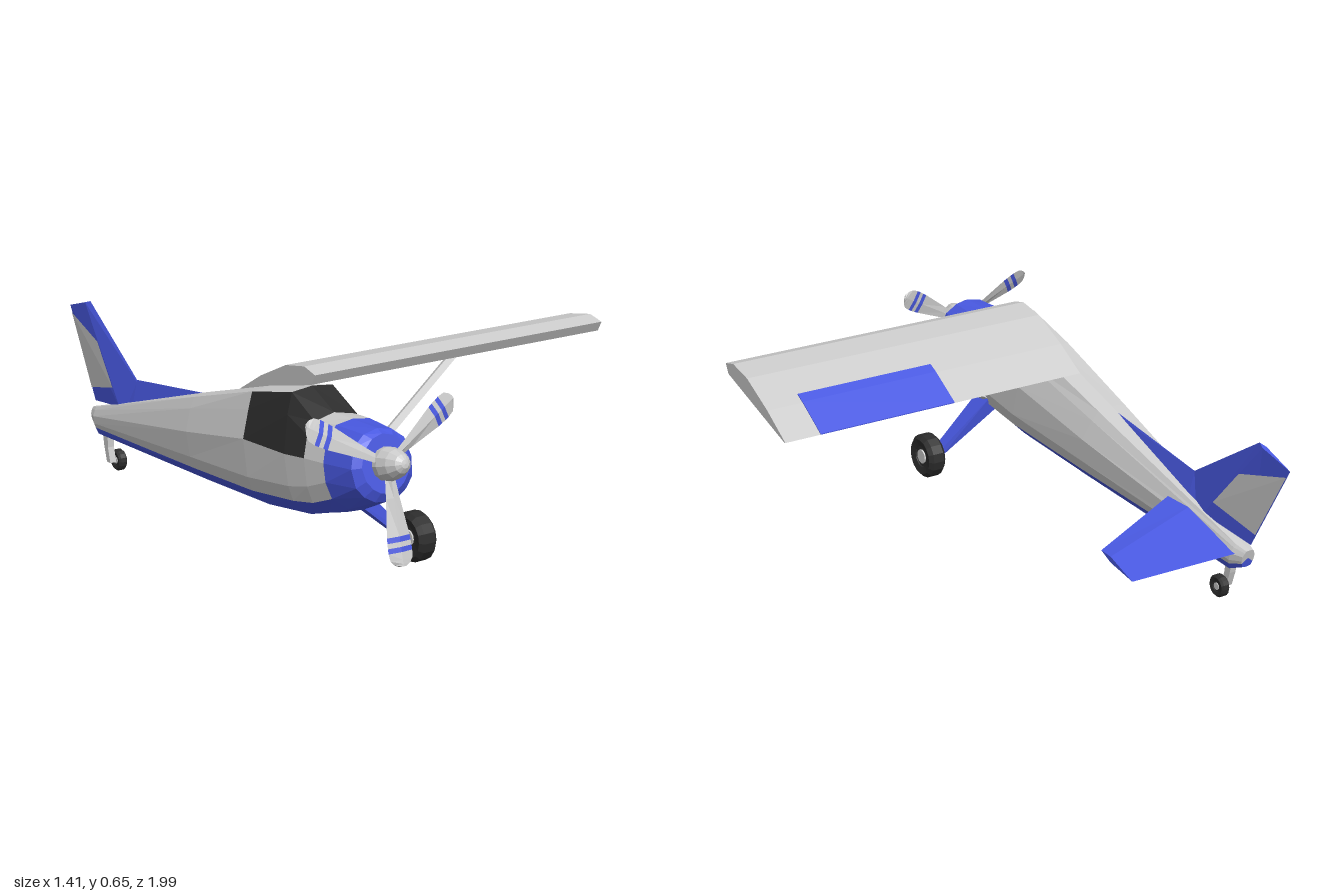
import * as THREE from 'three';

const GREY = 0xcccccc, BLUE = 0x4858e0, DARK = 0x2c2c2c;
const materials = {};
const mat = (color) => (materials[color] ??= new THREE.MeshStandardMaterial({ color, flatShading: true, side: THREE.DoubleSide }));

// Skins a row of closed rings, caps both ends; paint(segment, side) picks the colour of each cell.
function loft(name, rings, paint = () => GREY) {
  const tris = [], n = rings[0].length;
  const v = rings.map((r) => r.map((p) => new THREE.Vector3(...p)));
  for (let i = 0; i < v.length - 1; i++) for (let j = 0; j < n; j++) {
    const k = (j + 1) % n, c = paint(i, j);
    tris.push([v[i][j], v[i + 1][j], v[i][k], c], [v[i][k], v[i + 1][j], v[i + 1][k], c]);
  }
  [0, v.length - 1].forEach((e) => {
    const mid = v[e].reduce((s, p) => s.add(p), new THREE.Vector3()).divideScalar(n);
    for (let j = 0; j < n; j++) {
      const a = v[e][j], b = v[e][(j + 1) % n], c = paint(e ? e - 1 : 0, j);
      tris.push(e ? [mid, a, b, c].toSpliced(1, 2, b, a) : [mid, a, b, c]);
    }
  });
  // turn the faces outward
  const volume = tris.reduce((s, [a, b, c]) => s + a.dot(b.clone().cross(c)), 0);
  const byColor = new Map();
  for (const [a, b, c, color] of tris) {
    if (!byColor.has(color)) byColor.set(color, []);
    byColor.get(color).push(...(volume < 0 ? [a, c, b] : [a, b, c]));
  }
  const group = new THREE.Group();
  group.name = name;
  for (const [color, pts] of byColor) {
    const g = new THREE.BufferGeometry().setFromPoints(pts);
    g.computeVertexNormals();
    const m = new THREE.Mesh(g, mat(color));
    m.name = name + (color === BLUE ? 'Blue' : color === DARK ? 'Dark' : 'Grey');
    group.add(m);
  }
  return group;
}

// Tyre and hub turning about the x axis.
function wheel(name, r, w, x, y, z) {
  const g = new THREE.Group();
  g.name = name;
  const profile = [[0.5, -0.42], [0.82, -0.5], [1, -0.3], [1, 0.3], [0.82, 0.5], [0.5, 0.42], [0.5, -0.42]]
    .map(([a, b]) => new THREE.Vector2(a * r, b * w));
  const tyre = new THREE.Mesh(new THREE.LatheGeometry(profile, 16), mat(DARK));
  tyre.name = 'tyre';
  const rim = new THREE.Mesh(new THREE.CylinderGeometry(r * 0.5, r * 0.5, w * 0.7, 16), mat(DARK));
  rim.name = 'rim';
  const hub = new THREE.Mesh(new THREE.CylinderGeometry(r * 0.33, r * 0.33, w * 0.86, 12), mat(GREY));
  hub.name = 'hub';
  g.add(tyre, rim, hub);
  g.rotation.z = -Math.PI / 2;
  g.position.set(x, y, z);
  return g;
}

function fuselage() {
  // [z, middle y, then half-section points (x, y) from top centre to bottom centre]
  const sections = [
    [0.905, 0.455, [0, 0.54], [0.037, 0.53], [0.07, 0.5], [0.085, 0.455], [0.075, 0.415], [0.055, 0.39], [0.03, 0.374], [0, 0.37]],
    [0.885, 0.45, [0, 0.55], [0.05, 0.54], [0.09, 0.51], [0.108, 0.45], [0.1, 0.395], [0.075, 0.365], [0.04, 0.345], [0, 0.34]],
    [0.77, 0.42, [0, 0.548], [0.06, 0.54], [0.1, 0.505], [0.122, 0.44], [0.123, 0.385], [0.108, 0.335], [0.055, 0.295], [0, 0.285]],
    [0.68, 0.4, [0, 0.545], [0.072, 0.53], [0.105, 0.495], [0.127, 0.432], [0.129, 0.35], [0.116, 0.3], [0.06, 0.262], [0, 0.252]],
    [0.575, 0.41, [0, 0.6], [0.074, 0.592], [0.1, 0.53], [0.13, 0.42], [0.13, 0.325], [0.12, 0.28], [0.062, 0.23], [0, 0.222]],
    [0.345, 0.37, [0, 0.547], [0.068, 0.54], [0.09, 0.49], [0.123, 0.405], [0.126, 0.29], [0.115, 0.247], [0.06, 0.195], [0, 0.187]],
    [-0.03, 0.3, [0, 0.44], [0.055, 0.433], [0.075, 0.4], [0.102, 0.33], [0.1, 0.25], [0.09, 0.212], [0.05, 0.17], [0, 0.163]],
    [-0.77, 0.175, [0, 0.222], [0.022, 0.22], [0.03, 0.21], [0.04, 0.19], [0.04, 0.165], [0.036, 0.15], [0.028, 0.128], [0, 0.124]],
  ];
  const [, yEnd, ...tail] = sections.at(-1);
  sections.push([-0.815, 0.18, ...tail.map(([x, y]) => [x * 0.6, 0.18 + (y - yEnd) * 0.65])]);
  const rings = sections.map(([z, yc, ...half]) => {
    const left = half.map(([x, y]) => [x, y, z - 0.23 * (y - yc)]);
    return [...left, ...left.slice(1, -1).reverse().map(([x, y, zz]) => [-x, y, zz])];
  });
  return loft('fuselage', rings, (i, j) => {
    const row = j < 7 ? j : 13 - j;
    if (i < 2 || row >= 5) return BLUE;
    if (i === 3 && row < 3) return DARK; // windscreen
    if (i === 4 && (row === 1 || row === 2)) return DARK; // side windows
    return GREY;
  });
}

function propeller() {
  const g = new THREE.Group();
  g.name = 'propeller';
  const spinnerProfile = [[0, -0.02], [0.05, -0.02], [0.051, 0.01], [0.043, 0.045], [0.028, 0.073], [0.013, 0.085], [0, 0.087]]
    .map((p) => new THREE.Vector2(...p));
  const spinner = new THREE.Mesh(new THREE.LatheGeometry(spinnerProfile, 12), mat(GREY));
  spinner.name = 'spinner';
  spinner.rotation.x = Math.PI / 2;
  g.add(spinner);
  // blade stations: radius, half width
  const stations = [[0.02, 0.011], [0.1, 0.02], [0.212, 0.036], [0.228, 0.037], [0.243, 0.038], [0.258, 0.038], [0.28, 0.035], [0.293, 0.024], [0.3, 0.01]];
  const rings = stations.map(([r, w]) => [[-w, r, 0.006], [0, r, 0.007], [w, r, -0.006], [0, r, -0.003]]);
  for (let k = 0; k < 3; k++) {
    const blade = loft('blade', rings, (i) => (i === 2 || i === 4 ? BLUE : GREY));
    blade.rotation.z = Math.PI + (k * Math.PI * 2) / 3;
    g.add(blade);
  }
  g.position.set(0, 0.456, 0.915);
  g.rotation.x = -0.25;
  return g;
}

function fin() {
  const g = new THREE.Group();
  g.name = 'tailFin';
  const ring = (le, ridge, te, t) => [[0, ...le], [t, ...ridge], [0, ...te], [-t, ...ridge]];
  const bottom = ring([0.3, -0.416], [0.262, -0.61], [0.23, -0.825], 0.025);
  const top = ring([0.588, -0.84], [0.58, -0.865], [0.545, -0.99], 0.008);
  g.add(loft('fin', [bottom, top], () => BLUE));
  // fillet running forward along the spine
  g.add(loft('finFillet', [
    [[0, 0.43, -0.09], [0.004, 0.42, -0.09], [-0.004, 0.42, -0.09]],
    [[0, 0.374, -0.525], [0.024, 0.27, -0.525], [-0.024, 0.27, -0.525]],
    [[0, 0.28, -0.7], [0.012, 0.24, -0.7], [-0.012, 0.24, -0.7]],
  ], () => BLUE));
  // grey rudder panels lying on the rear faces
  const at = (side, u, v) => {
    const V = (p) => new THREE.Vector3(...p);
    const p = V(bottom[1]).lerp(V(top[1]), v).lerp(V(bottom[2]).lerp(V(top[2]), v), u);
    return p.setX(side * (p.x + 0.0025));
  };
  for (const s of [1, -1]) {
    const [a, b, c, d] = [at(s, 0, 0.18), at(s, 0, 0.62), at(s, 0.99, 0.92), at(s, 0.99, 0.14)];
    const geo = new THREE.BufferGeometry().setFromPoints(s > 0 ? [a, c, b, a, d, c] : [a, b, c, a, c, d]);
    geo.computeVertexNormals();
    const panel = new THREE.Mesh(geo, mat(GREY));
    panel.name = 'rudder';
    g.add(panel);
  }
  return g;
}

export function createModel() {
  const model = new THREE.Group();
  model.name = 'airplane';
  const plane = new THREE.Group();
  plane.name = 'airframe';
  plane.position.x = -0.438;
  model.add(plane);

  plane.add(fuselage(), propeller(), fin());

  // left wing with its blue flap
  const span = (profile, x0, x1) => [x0, x1].map((x) => profile.map(([y, z]) => [x, y, z]));
  const airfoil = [[0.635, 0.547], [0.65, 0.49], [0.632, 0.39], [0.567, 0.25], [0.497, 0.13], [0.495, 0.135], [0.602, 0.53]];
  plane.add(loft('wing', span(airfoil, 0, 1.141)));
  plane.add(loft('flap', span([[0.586, 0.285], [0.57, 0.25], [0.5, 0.13], [0.497, 0.13], [0.56, 0.25], [0.58, 0.285]], 0.508, 1.013), () => BLUE));

  // wing strut
  const strutEnd = (x, y, z) => [[x - 0.006, y + 0.009, z], [x, y, z + 0.022], [x + 0.006, y - 0.009, z], [x, y, z - 0.022]];
  plane.add(loft('wingStrut', [strutEnd(0.11, 0.284, 0.56), strutEnd(0.605, 0.59, 0.45)]));

  // left tailplane
  const tailRib = (x, le, te, t) => {
    const mix = (k, i) => le[i] + (te[i] - le[i]) * k;
    return [[x, ...le], [x, mix(0.3, 0) + t, mix(0.3, 1)], [x, ...te], [x, mix(0.3, 0) - t, mix(0.3, 1)]];
  };
  plane.add(loft('tailplane', [tailRib(0, [0.28, -0.44], [0.193, -0.79], 0.018), tailRib(0.425, [0.235, -0.61], [0.196, -0.777], 0.01)], () => BLUE));

  // main landing gear
  const legEnd = (xa, ya, xb, yb, z0, z1) => [[xa, ya, z0], [xa, ya, z1], [xb, yb, z1], [xb, yb, z0]];
  plane.add(loft('landingLeg', [
    legEnd(0.07, 0.345, 0.03, 0.305, 0.52, 0.6),
    legEnd(0.111, 0.304, 0.068, 0.266, 0.525, 0.605),
    legEnd(0.29, 0.096, 0.286, 0.072, 0.6, 0.64),
  ], () => BLUE));
  const axle = new THREE.Mesh(new THREE.CylinderGeometry(0.012, 0.012, 0.06, 8), mat(GREY));
  axle.name = 'axle';
  axle.rotation.z = Math.PI / 2;
  axle.position.set(0.305, 0.083, 0.625);
  plane.add(axle, wheel('mainWheel', 0.08, 0.068, 0.322, 0.083, 0.625));

  // tail wheel and its leg
  const foot = (y, z, w) => [[-0.024, y, z - w], [-0.024, y, z + w], [0, y, z + w], [0, y, z - w]];
  plane.add(loft('tailLeg', [foot(0.15, -0.72, 0.018), foot(0.09, -0.715, 0.013), foot(0.036, -0.7, 0.012)]));
  plane.add(wheel('tailWheel', 0.038, 0.032, 0.017, 0.039, -0.7));
  return model;
}
